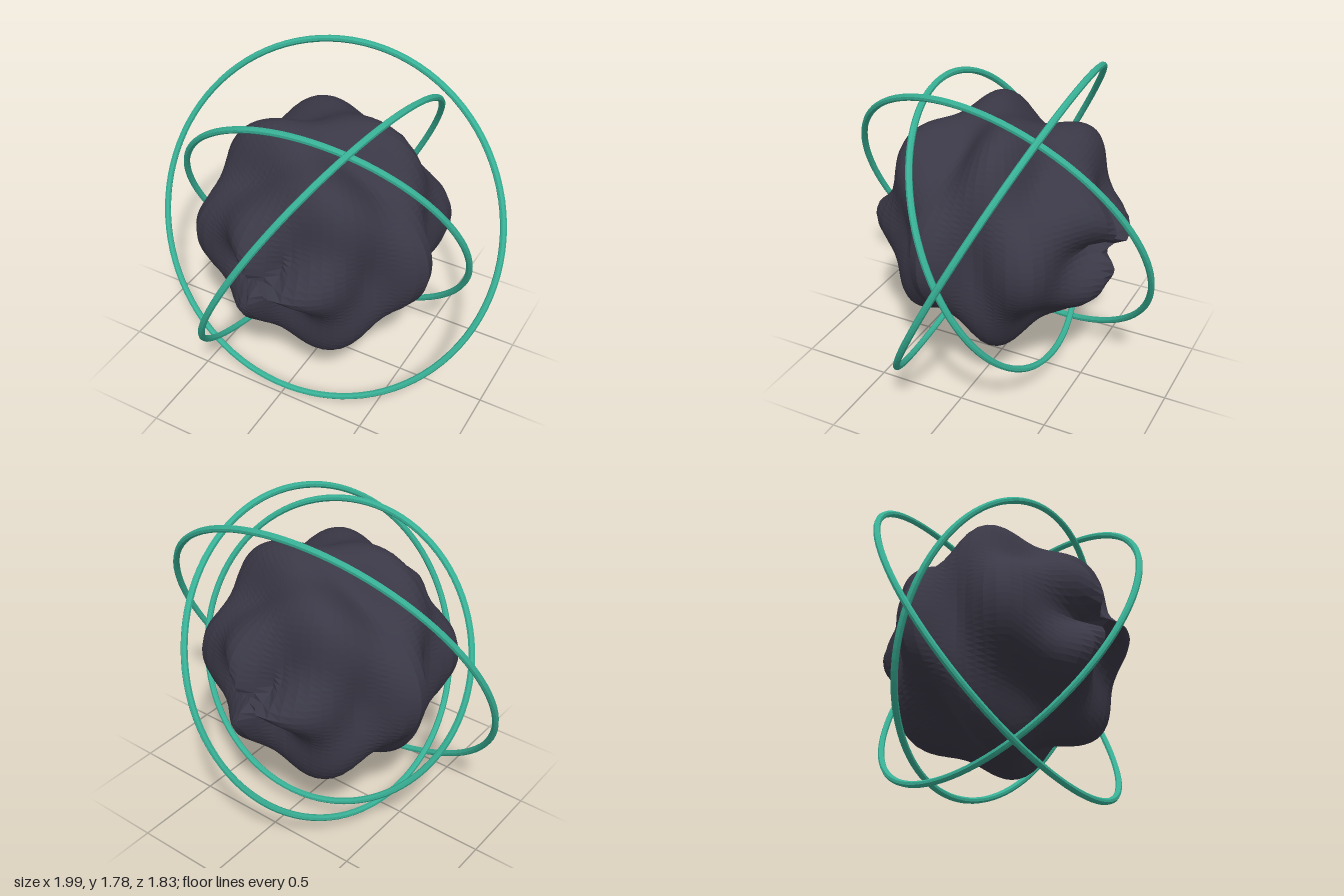
import * as THREE from 'three';

const CENTRE_Y = 0.893;

const coreMaterial = new THREE.MeshStandardMaterial({ color: 0x3a3846, flatShading: true });
coreMaterial.name = 'dark slate';
const ringMaterial = new THREE.MeshStandardMaterial({ color: 0x38b196, flatShading: true });
ringMaterial.name = 'teal';

// Sphere rippled by three waves around the z axis and a wave along it
function rippledCore() {
  const radius = 0.62, ripple = 0.08;
  const geometry = new THREE.SphereGeometry(1, 64, 64);
  const position = geometry.attributes.position;
  const p = new THREE.Vector3();
  for (let i = 0; i < position.count; i++) {
    p.fromBufferAttribute(position, i).normalize();
    const angle = Math.atan2(p.y, p.x);
    p.multiplyScalar(radius + ripple * Math.cos(3 * angle) * Math.sin(8 * p.z));
    position.setXYZ(i, p.x, p.y, p.z);
  }
  geometry.computeVertexNormals();
  const mesh = new THREE.Mesh(geometry, coreMaterial);
  mesh.name = 'core';
  return mesh;
}

// Thin hoop around the centre, facing along the given normal
function ring(name, radius, normal) {
  const mesh = new THREE.Mesh(new THREE.TorusGeometry(radius, 0.018, 8, 96), ringMaterial);
  mesh.quaternion.setFromUnitVectors(new THREE.Vector3(0, 0, 1), new THREE.Vector3(...normal).normalize());
  mesh.name = name;
  return mesh;
}

export function createModel() {
  const model = new THREE.Group();
  model.name = 'ringedCore';
  const body = new THREE.Group();
  body.name = 'coreAndRings';
  body.position.y = CENTRE_Y;
  body.add(
    rippledCore(),
    ring('outerRing', 0.982, [0.07, 0.46, 0.885]),
    ring('sideRing', 0.905, [0.88, -0.45, 0.14]),
    ring('innerRing', 0.826, [0.07, -0.42, 0.9]),
  );
  model.add(body);
  return model;
}
